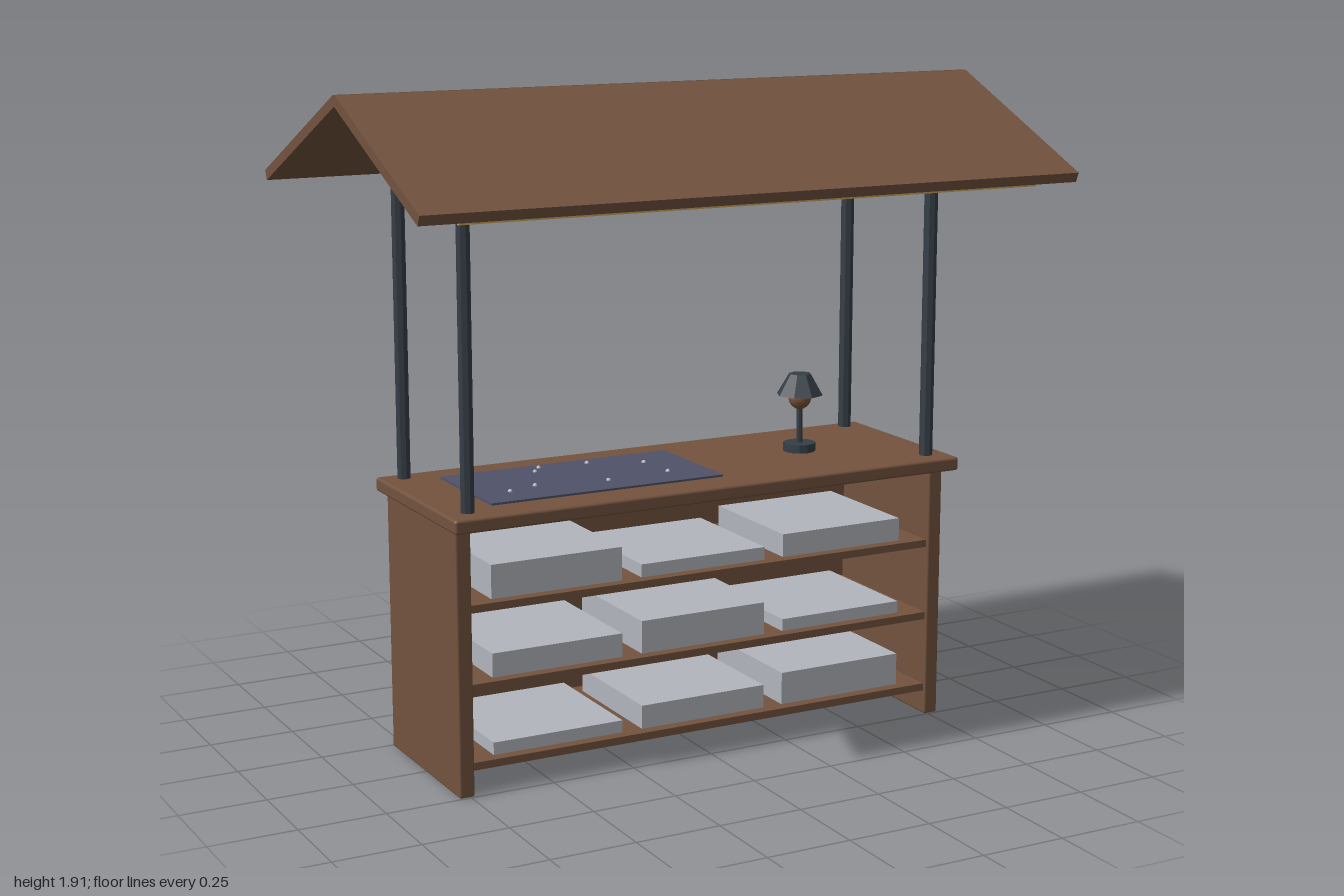
import * as THREE from 'three';
import { RoundedBoxGeometry } from 'three/addons/geometries/RoundedBoxGeometry.js';

function mat(name, color) {
  const m = new THREE.MeshStandardMaterial({ color });
  m.name = name;
  return m;
}

export function createModel() {
  const model = new THREE.Group();
  model.name = 'marketStall';
  const wood = mat('brown wood', 0x73533f);
  const iron = mat('dark iron', 0x353e46);
  const crate = mat('pale grey', 0xb2b5bd);
  const cloth = mat('slate cloth', 0x50526a);
  const gold = mat('gold strip', 0xc9a55c);
  const copper = mat('copper bulb', 0x7a523c);
  const silver = mat('silver', 0xb9bcc8);
  iron.flatShading = true;

  const add = (name, geometry, material, x, y, z, parent = model) => {
    const mesh = new THREE.Mesh(geometry, material);
    mesh.name = name;
    mesh.position.set(x, y, z);
    parent.add(mesh);
    return mesh;
  };
  // Box given by its low and high limits on each axis
  const slab = (name, material, [x0, x1], [y0, y1], [z0, z1], bevel = 0) => {
    const size = [x1 - x0, y1 - y0, z1 - z0];
    const geometry = bevel ? new RoundedBoxGeometry(...size, 2, bevel) : new THREE.BoxGeometry(...size);
    return add(name, geometry, material, (x0 + x1) / 2, (y0 + y1) / 2, (z0 + z1) / 2);
  };

  // Counter carcass
  slab('counterTop', wood, [-0.805, 0.805], [0.76, 0.8], [-0.273, 0.3], 0.008);
  slab('backPanel', wood, [-0.78, 0.78], [0, 0.765], [-0.247, -0.225]);
  slab('leftPanel', wood, [0.738, 0.783], [0, 0.765], [-0.244, 0.247], 0.006);
  slab('rightPanel', wood, [-0.783, -0.738], [0, 0.765], [-0.244, 0.247], 0.006);

  // Shelves, each with three boxes of differing height
  const rows = [
    { y: 0.094, tops: [0.13, 0.163, 0.19] },
    { y: 0.318, tops: [0.387, 0.414, 0.354] },
    { y: 0.542, tops: [0.639, 0.58, 0.61] },
  ];
  for (const { y, tops } of rows) {
    slab('shelf', wood, [-0.74, 0.74], [y - 0.022, y], [-0.23, 0.238]);
    tops.forEach((top, i) => {
      const x = (i - 1) * 0.462;
      slab('goodsBox', crate, [x - 0.2, x + 0.2], [y, top], [-0.18, 0.205]);
    });
  }

  // Posts
  for (const x of [-0.737, 0.737]) {
    for (const z of [-0.226, 0.226]) {
      add('post', new THREE.CylinderGeometry(0.02, 0.02, 0.875, 8), iron, x, 1.2275, z);
    }
  }

  // Two sloping roof slabs with a light strip under the front eave
  for (const side of [1, -1]) {
    const roof = add('roofSlab', new THREE.BoxGeometry(2, 0.03, 0.62), wood, 0, 1.769, side * 0.283);
    roof.rotation.x = side * 0.42;
  }
  slab('lightStrip', gold, [-0.88, 0.88], [1.621, 1.633], [0.524, 0.536]);

  // Display mat with small trinkets
  slab('displayMat', cloth, [-0.65, 0.07], [0.799, 0.806], [-0.168, 0.188]);
  const trinkets = [[-0.55, 0.09], [-0.46, 0.06], [-0.36, -0.13], [-0.39, -0.09],
    [-0.21, -0.12], [-0.05, 0.08], [-0.06, -0.05], [-0.25, 0.1]];
  for (const [x, z] of trinkets) {
    add('trinket', new THREE.SphereGeometry(0.007, 8, 6), silver, x, 0.807, z);
  }

  // Table lamp
  const lamp = new THREE.Group();
  lamp.name = 'lamp';
  lamp.position.set(0.437, 0.8, 0);
  model.add(lamp);
  add('lampBase', new THREE.CylinderGeometry(0.048, 0.048, 0.025, 12), iron, 0, 0.0125, 0, lamp);
  add('lampStem', new THREE.CylinderGeometry(0.009, 0.009, 0.15, 8), iron, 0, 0.09, 0, lamp);
  add('lampBulb', new THREE.SphereGeometry(0.034, 12, 8), copper, 0, 0.16, 0, lamp);
  add('lampShade', new THREE.CylinderGeometry(0.033, 0.07, 0.063, 8), iron, 0, 0.202, 0, lamp);

  return model;
}
